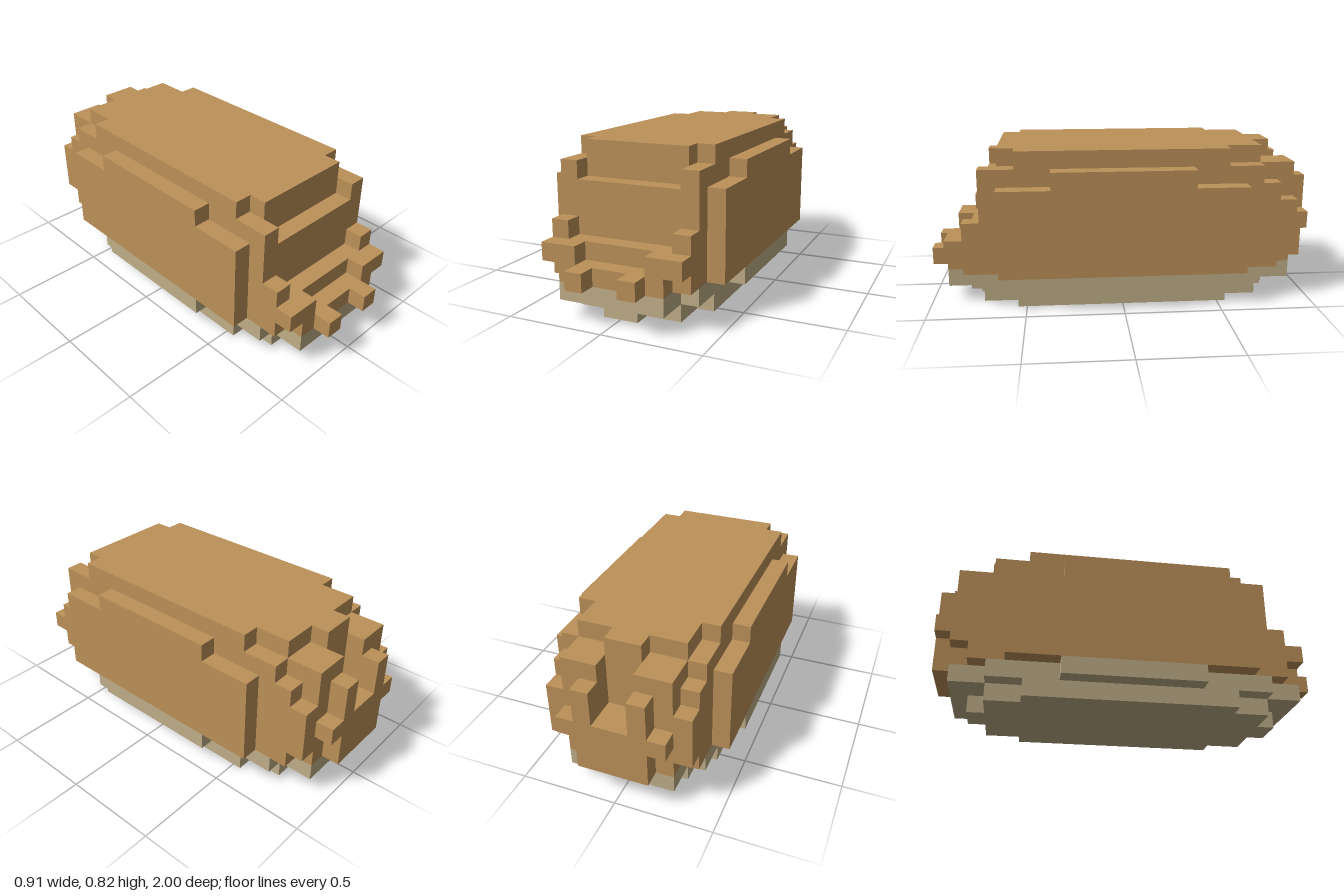
import * as THREE from 'three';

const U = 1 / 11; // edge of one block

export function createModel() {
  const model = new THREE.Group();
  model.name = 'blockLoaf';
  const brown = new THREE.MeshStandardMaterial({ color: 0xbc9159 });
  brown.name = 'warm brown';
  const beige = new THREE.MeshStandardMaterial({ color: 0xbfae88 });
  beige.name = 'pale beige';

  // Box from corner to corner, measured in blocks
  function box(name, mat, x0, x1, y0, y1, z0, z1) {
    const geo = new THREE.BoxGeometry((x1 - x0) * U, (y1 - y0) * U, (z1 - z0) * U);
    const mesh = new THREE.Mesh(geo, mat);
    mesh.name = name;
    mesh.position.set((x0 + x1) / 2 * U, (y0 + y1) / 2 * U, (z0 + z1) / 2 * U);
    model.add(mesh);
  }
  const centred = (name, mat, w, ...yz) => box(name, mat, -w, w, ...yz);
  function pair(name, mat, x0, x1, ...yz) {
    box(name + 'Left', mat, x0, x1, ...yz);
    box(name + 'Right', mat, -x1, -x0, ...yz);
  }

  // Pale underside: half width, y0, y1, z0, z1
  for (const b of [
    [4, 0, 1, -6, 6], [3, 0, 1, -8, 8], [1, 0, 1, -9, 9],
    [4, 1, 2, -8, 8], [3, 1, 2, -10, 10],
  ]) centred('underside', beige, ...b);

  // Main body layers, from the bottom up
  for (const b of [
    [4, 2, 3, -9, 9], [3, 2, 3, -10, 10],
    [4, 3, 4, -10, 9], [4, 4, 5, -10, 8], [4, 5, 7, -9, 8],
    [4, 7, 8, -8, 7], [3, 7, 8, -9, 7],
    [4, 8, 9, -6, 6], [3, 8, 9, -8, 7], [1, 8, 9, -9, -8],
  ]) centred('body', brown, ...b);

  // Side panels
  pair('sidePanel', brown, 4, 5, 2, 7, -7, 7);
  pair('sidePanelTop', brown, 4, 5, 7, 8, -4, 4);
  pair('sidePanelBase', beige, 4, 5, 1, 2, -4, 4);

  // Front details
  pair('frontUpperCorner', brown, 3, 4, 7, 8, 7, 8);
  pair('frontPost', brown, 3, 4, 4, 5, 8, 9);
  pair('frontLip', brown, 2, 4, 3, 4, 9, 10);
  pair('frontPeg', brown, 1, 2, 2, 3, 10, 11);

  // Back details, leaving a notch in the middle
  pair('backShoulder', brown, 1, 4, 5, 6, -10, -9);
  pair('backCrown', brown, 1, 3, 6, 8, -10, -9);
  centred('backPlate', brown, 2, 2, 5, -11, -10);
  pair('backTab', brown, 2, 3, 4, 5, -11, -10);
  pair('backColumn', brown, 1, 2, 5, 7, -11, -10);

  return model;
}
